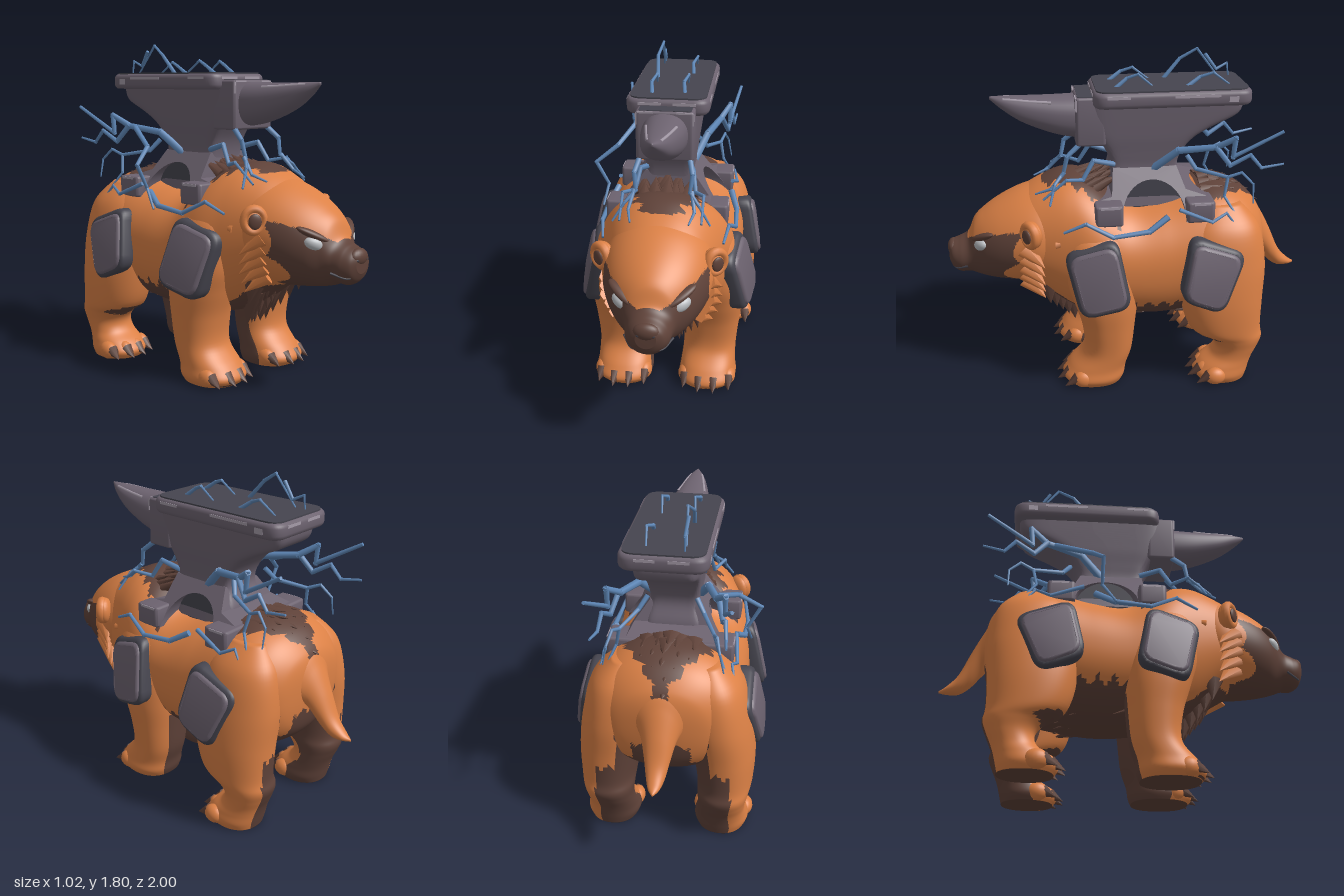
import * as THREE from 'three';
import { mergeGeometries, toCreasedNormals } from 'three/addons/utils/BufferGeometryUtils.js';

const V = (x, y, z) => new THREE.Vector3(x, y, z);
const mat = (name, color) => Object.assign(new THREE.MeshStandardMaterial({ color }), { name });

// Smooth tube of superellipse rings; rows are [t, a, b, ra, rb] along axis z (a=x, b=y) or y (a=x, b=z)
function loft(axis, rows, n = 40, steps = 8, e = 2) {
  rows = [...rows].sort((p, q) => p[0] - q[0]);
  const rings = [], at = i => rows[Math.min(Math.max(i, 0), rows.length - 1)];
  for (let s = 0; s <= (rows.length - 1) * steps; s++) {
    const i = Math.floor(s / steps), f = s / steps - i;
    rings.push(at(i).map((p1, k) => {
      const p0 = at(i - 1)[k], p2 = at(i + 1)[k], p3 = at(i + 2)[k];
      return p1 + 0.5 * f * (p2 - p0 + f * (2 * p0 - 5 * p1 + 4 * p2 - p3 + f * (3 * (p1 - p2) + p3 - p0)));
    }));
  }
  const cap = r => [r[0], r[1], r[2], 0, 0];
  const all = [cap(rings[0]), ...rings, cap(rings[rings.length - 1])], pos = [], idx = [];
  const pw = v => Math.sign(v) * Math.abs(v) ** (2 / e);
  all.forEach(([t, a, b, ra, rb], i) => {
    for (let j = 0; j < n; j++) {
      const w = (j / n) * Math.PI * 2, u = a + ra * pw(Math.cos(w));
      if (axis === 'z') pos.push(u, b + rb * pw(Math.sin(w)), t);
      else pos.push(u, t, b - rb * pw(Math.sin(w)));
      if (i) {
        const p = (i - 1) * n + j, q = (i - 1) * n + (j + 1) % n;
        idx.push(p, q, p + n, q, q + n, p + n);
      }
    }
  });
  const g = new THREE.BufferGeometry();
  g.setAttribute('position', new THREE.Float32BufferAttribute(pos, 3));
  g.setIndex(idx);
  g.computeVertexNormals();
  return g;
}

// Sort triangles into two material groups: rule(centre, normal) true picks the second
function paint(g, rule) {
  const sets = [[], []], p = g.attributes.position, ix = g.index.array, t = new THREE.Triangle();
  const c = V(), n = V();
  for (let i = 0; i < ix.length; i += 3) {
    t.setFromAttributeAndIndices(p, ix[i], ix[i + 1], ix[i + 2]);
    t.getMidpoint(c); t.getNormal(n);
    sets[rule(c, n) ? 1 : 0].push(ix[i], ix[i + 1], ix[i + 2]);
  }
  g.setIndex([...sets[0], ...sets[1]]);
  g.addGroup(0, sets[0].length, 0);
  g.addGroup(sets[0].length, sets[1].length, 1);
  return g;
}

function mirrored(src) {
  const g = src.clone().scale(-1, 1, 1);
  const ix = g.index ? [...g.index.array] : [...Array(g.attributes.position.count).keys()];
  for (let i = 0; i < ix.length; i += 3) [ix[i], ix[i + 1]] = [ix[i + 1], ix[i]];
  g.setIndex(ix);
  return g;
}

// Flattened fur tuft or claw from a base point along a direction
function spike(p, dir, h, r, flat = 0.6) {
  const g = new THREE.ConeGeometry(r, h, 7).translate(0, h * 0.35, 0).scale(1, 1, flat);
  g.applyQuaternion(new THREE.Quaternion().setFromUnitVectors(V(0, 1, 0), dir.clone().normalize()));
  return g.translate(p.x, p.y, p.z);
}

function ball(x, y, z, rx, ry, rz) {
  return new THREE.SphereGeometry(1, 20, 14).scale(rx, ry, rz).translate(x, y, z);
}

// Jagged bolt of tapering struts
function bolt(pts, r = 0.014) {
  const parts = [];
  for (let i = 0; i < pts.length - 1; i++) {
    const a = V(...pts[i]), d = V(...pts[i + 1]).sub(a), k = j => r * (1 - 0.6 * j / (pts.length - 1));
    parts.push(new THREE.CylinderGeometry(k(i + 1), k(i), d.length() + r * 0.8, 6).translate(0, d.length() / 2, 0)
      .applyQuaternion(new THREE.Quaternion().setFromUnitVectors(V(0, 1, 0), d.clone().normalize())).translate(a.x, a.y, a.z));
  }
  return mergeGeometries(parts);
}

function roundedPoly(pts, r) {
  const s = new THREE.Shape(), P = pts.map(p => new THREE.Vector2(...p)), n = P.length;
  P.forEach((p, i) => {
    const a = P[(i + n - 1) % n].clone().sub(p).setLength(r).add(p), b = P[(i + 1) % n].clone().sub(p).setLength(r).add(p);
    i ? s.lineTo(a.x, a.y) : s.moveTo(a.x, a.y);
    s.quadraticCurveTo(p.x, p.y, b.x, b.y);
  });
  s.closePath();
  return s;
}
const extrude = (shape, depth, bevel) => new THREE.ExtrudeGeometry(shape, {
  depth, bevelEnabled: bevel > 0, bevelSize: bevel, bevelThickness: bevel, bevelOffset: -bevel, bevelSegments: 3, curveSegments: 10 });
const zig = (v, f, a) => a * Math.abs(((v * f) % 1 + 1) % 1 - 0.5); // jagged fur border

export function createModel() {
  const root = new THREE.Group();
  const orange = mat('orange fur', 0xdc8146), brown = mat('brown fur', 0x5f4239), iron = mat('iron', 0x6d6370);
  const dark = mat('dark iron', 0x46454f), blue = mat('lightning blue', 0x5f88b8), pale = mat('worn edge', 0xa59ba8), eye = mat('eye grey', 0xb9bcc0);
  const fur = [orange, brown];
  const add = (name, g, m) => { const o = new THREE.Mesh(g, m); o.name = name; root.add(o); };
  const pair = (name, g, m) => { add(name + 'Left', g, m); add(name + 'Right', mirrored(g), m); };
  let seed = 7;
  const rnd = () => (seed = (seed * 16807) % 2147483647) / 2147483647;

  // Torso, rows [z, x, y, halfWidth, halfHeight]
  add('torso', paint(loft('z', [
    [-0.77, 0, 0.78, 0.07, 0.08], [-0.73, 0, 0.74, 0.25, 0.22], [-0.62, 0, 0.735, 0.37, 0.32], [-0.45, 0, 0.73, 0.405, 0.365],
    [-0.2, 0, 0.68, 0.4, 0.355], [0, 0, 0.675, 0.39, 0.345], [0.2, 0, 0.74, 0.38, 0.4], [0.34, 0, 0.785, 0.335, 0.385],
    [0.48, 0, 0.81, 0.285, 0.31], [0.6, 0, 0.81, 0.24, 0.24]], 96, 10, 2.2), (c, n) => {
    const x = Math.abs(c.x);
    if (c.y > 0.92) return (c.z > 0.06 && c.z < 0.47 && x < 0.55 * (0.5 - c.z) + 0.03 + zig(c.z, 14, 0.12))
      || (c.z < -0.38 && x < 0.25 + 0.75 * (c.z + 0.42) + zig(c.z, 12, 0.08));
    if (c.z > 0.2) return c.y < 0.55 && x < 0.2;
    return c.z < -0.45 ? n.y < -0.55 || (x < 0.15 && c.y < 0.62 + zig(c.x, 12, 0.1)) : c.y < 0.46 + zig(c.z, 12, 0.12);
  }), fur);

  // Tail
  add('tail', paint(loft('z', [[-1, 0, 0.53, 0.004, 0.006], [-0.96, 0, 0.54, 0.03, 0.022], [-0.9, 0, 0.575, 0.05, 0.055],
    [-0.84, 0, 0.66, 0.07, 0.1], [-0.78, 0, 0.755, 0.1, 0.12], [-0.72, 0, 0.83, 0.16, 0.13], [-0.62, 0, 0.85, 0.2, 0.15]], 32),
    (c, n) => n.y < -0.75 && c.z > -0.82), fur);

  // Head with muzzle and dark face mask
  add('head', paint(loft('z', [[0.38, 0, 0.86, 0.27, 0.27], [0.5, 0, 0.825, 0.295, 0.275], [0.6, 0, 0.81, 0.278, 0.26], [0.7, 0, 0.79, 0.243, 0.232],
    [0.78, 0, 0.77, 0.197, 0.2], [0.84, 0, 0.75, 0.145, 0.165], [0.88, 0, 0.715, 0.12, 0.115], [0.93, 0, 0.7, 0.108, 0.1],
    [0.97, 0, 0.705, 0.085, 0.08], [0.99, 0, 0.715, 0.05, 0.05]], 110, 12), c => {
    const x = Math.abs(c.x);
    return c.z > 0.885 || (c.y < 0.6 && x < 0.13)
      || (c.z > 0.59 && c.y < Math.min(0.785 + 0.5 * x, 0.92) && x < 0.268 - Math.max(0, 0.74 - c.y) * 0.8);
  }), fur);
  add('nose', ball(0, 0.745, 0.965, 0.066, 0.045, 0.035), brown);
  pair('nostril', ball(0.034, 0.735, 0.982, 0.016, 0.011, 0.012), dark);
  add('mouth', new THREE.TubeGeometry(new THREE.CatmullRomCurve3([V(-0.12, 0.67, 0.885), V(-0.07, 0.645, 0.957), V(0, 0.668, 0.977),
    V(0.07, 0.645, 0.957), V(0.12, 0.67, 0.885)]), 24, 0.006, 6), dark);
  pair('eye', ball(0, 0, 0, 0.054, 0.033, 0.03).rotateZ(0.35).rotateY(0.6).translate(0.148, 0.808, 0.808), eye);
  pair('brow', ball(0, 0, 0, 0.1, 0.021, 0.036).rotateZ(0.42).rotateY(0.65).translate(0.14, 0.85, 0.8), brown);
  pair('ear', ball(0, 0, 0, 0.068, 0.075, 0.04).rotateY(0.65).translate(0.28, 0.91, 0.53), orange);
  pair('earRim', new THREE.TorusGeometry(0.052, 0.02, 10, 24).scale(1, 1.1, 1.3).rotateY(0.65).translate(0.292, 0.912, 0.542), orange);
  pair('innerEar', ball(0, 0, 0, 0.034, 0.04, 0.012).rotateY(0.65).translate(0.305, 0.908, 0.562), brown);

  // Legs, rows [y, x, z, halfWidth, halfDepth], brown on the inside and behind
  const legPaint = (c, n) => n.y < -0.7 || (n.x < -0.35 && n.z < 0.15) || (n.z < -0.35 && n.x < 0.3 && c.y < 0.42 + zig(c.x, 14, 0.1));
  pair('frontLeg', paint(loft('y', [[0, 0.235, 0.21, 0.145, 0.155], [0.04, 0.24, 0.215, 0.163, 0.175], [0.1, 0.24, 0.19, 0.155, 0.16],
    [0.2, 0.245, 0.135, 0.15, 0.135], [0.35, 0.25, 0.13, 0.16, 0.147], [0.5, 0.26, 0.145, 0.165, 0.175], [0.65, 0.26, 0.165, 0.16, 0.195],
    [0.85, 0.25, 0.18, 0.13, 0.17], [0.98, 0.22, 0.18, 0.06, 0.08]], 56, 7, 2.3), legPaint), fur);
  pair('hindLeg', paint(loft('y', [[0, 0.3, -0.51, 0.13, 0.14], [0.04, 0.3, -0.505, 0.147, 0.155], [0.09, 0.3, -0.53, 0.138, 0.142],
    [0.14, 0.3, -0.57, 0.128, 0.118], [0.2, 0.305, -0.592, 0.128, 0.122], [0.26, 0.31, -0.58, 0.138, 0.153], [0.33, 0.315, -0.52, 0.15, 0.2],
    [0.5, 0.305, -0.495, 0.165, 0.23], [0.7, 0.28, -0.49, 0.165, 0.245], [0.9, 0.25, -0.5, 0.14, 0.2], [1.02, 0.22, -0.5, 0.06, 0.1]], 56, 7, 2.2), legPaint), fur);

  // Toes and claws
  for (const [name, cx, cz] of [['front', 0.24, 0.345], ['hind', 0.305, -0.39]]) {
    const toes = [], claws = [];
    for (let i = 0; i < 4; i++) {
      const u = i - 1.5, x = cx + u * 0.08, z = cz - u * u * 0.018;
      toes.push(ball(x, 0.05, z - 0.025, 0.043, 0.05, 0.06));
      claws.push(spike(V(x, 0.05, z + 0.02), V(u * 0.1, -0.55, 1), 0.085, 0.037, 0.95));
    }
    pair(name + 'Toes', mergeGeometries(toes), orange);
    pair(name + 'Claws', mergeGeometries(claws), brown);
  }

  // Fur tufts: mane, rump, chest, belly, then orange cheeks and neck
  const tufts = [], cheek = [];
  for (let i = 0; i < 5; i++) for (let j = -2; j <= 2; j++) {
    const x = j * 0.055 + (rnd() - 0.5) * 0.03, a = Math.abs(j);
    if (a < 3 - i * 0.4) tufts.push(spike(V(x, 1.14 - a * 0.014 - Math.max(0, i - 2) * 0.022, 0.16 + i * 0.06), V(x, 0.5, -1), 0.15, 0.06, 0.6));
    if (a < 3 - i * 0.7) tufts.push(spike(V(x, 1.09 - a * 0.013 - i * i * 0.008, -0.42 - i * 0.06), V(x, 0.15 - i * 0.1, -1), 0.13, 0.055, 0.5));
    tufts.push(spike(V(x * (1.6 - i * 0.25), 0.56 - i * 0.042, 0.455 - i * 0.035), V(x, -1, -0.1), 0.13, 0.06, 0.5));
    tufts.push(spike(V(x * 1.6, 0.365 + a * 0.012, 0.02 - i * 0.075), V(x, -0.3, -1), 0.13, 0.06, 0.4));
  }
  for (let i = 0; i < 5; i++) {
    cheek.push(spike(V(0.268 - Math.max(0, i - 2) * 0.022, 0.81 - i * 0.05, 0.55), V(0.45, -0.6, -0.6), 0.15, 0.06, 0.6));
    cheek.push(spike(V(0.12 + i * 0.04, 1.085 - i * i * 0.014, 0.38 - (i % 2) * 0.05), V(0.25, 0.15, -1), 0.15, 0.05));
  }
  add('furTufts', mergeGeometries(tufts), brown);
  pair('cheekTufts', mergeGeometries(cheek), orange);

  // Armour plates on shoulders and hips; corners are [-z, y], bent to lie on the flank
  for (const [name, pts, x0, k, m] of [
    ['shoulder', [[-0.29, 0.465], [-0.02, 0.54], [-0.09, 0.905], [-0.375, 0.82]], 0.43, -0.2, -0.2],
    ['hip', [[0.23, 0.57], [0.47, 0.47], [0.605, 0.8], [0.3, 0.91]], 0.465, -0.17, 0.06]]) {
    const cx = pts.reduce((s, p) => s + p[0] / 4, 0), cy = pts.reduce((s, p) => s + p[1] / 4, 0);
    const plate = (scale, depth, bevel, out) => {
      const ring = pts.map(p => [cx + (p[0] - cx) * scale, cy + (p[1] - cy) * scale]);
      const g = extrude(roundedPoly(ring, 0.08 * scale), depth, bevel).rotateY(Math.PI / 2), p = g.attributes.position;
      for (let i = 0; i < p.count; i++) {
        const dy = p.getY(i) - cy, dz = p.getZ(i) + cx;
        p.setX(i, p.getX(i) + x0 + out + k * dy + m * dz - 0.5 * dy * dy - 0.5 * dz * dz);
      }
      return toCreasedNormals(g, 0.7);
    };
    pair(name + 'PlateRim', plate(1, 0.05, 0.022, -0.055), dark);
    pair(name + 'PlateFace', plate(0.87, 0.014, 0.016, 0), iron);
  }

  // Anvil: waist, arched foot, pads, horn, step and top
  add('anvilWaist', toCreasedNormals(loft('y', [[1, 0, -0.11, 0.17, 0.21], [1.1, 0, -0.11, 0.15, 0.2], [1.2, 0, -0.09, 0.13, 0.18],
    [1.28, 0, -0.09, 0.135, 0.2], [1.36, 0, -0.1, 0.145, 0.255], [1.42, 0, -0.13, 0.15, 0.325], [1.49, 0, -0.19, 0.155, 0.405],
    [1.57, 0, -0.2, 0.16, 0.42]], 64, 5, 9), 0.6), iron);
  const foot = new THREE.Shape();
  foot.moveTo(-0.19, 0.95);
  for (const p of [[-0.19, 1.06], [-0.1, 1.08], [-0.085, 1.21], [0.26, 1.21], [0.3, 1.1], [0.43, 1.06], [0.43, 0.95], [0.29, 0.95]]) foot.lineTo(...p);
  foot.absarc(0.12, 0.98, 0.17, 0, Math.PI, false);
  foot.lineTo(-0.05, 0.95);
  const base = extrude(foot, 2, 0).translate(0, 0, -1).rotateY(Math.PI / 2), bp = base.attributes.position;
  for (let i = 0; i < bp.count; i++) bp.setX(i, bp.getX(i) * (0.31 - 0.7 * (bp.getY(i) - 0.95)));
  add('anvilFoot', toCreasedNormals(base, 0.5), iron);
  add('anvilArch', new THREE.CylinderGeometry(0.172, 0.172, 0.32, 40).rotateZ(Math.PI / 2).translate(0, 0.98, -0.12), dark);
  add('anvilHorn', loft('z', [[0.2, 0, 1.475, 0.12, 0.12], [0.28, 0, 1.475, 0.12, 0.115], [0.4, 0, 1.487, 0.107, 0.1],
    [0.55, 0, 1.518, 0.078, 0.07], [0.65, 0, 1.552, 0.046, 0.038], [0.72, 0, 1.582, 0.006, 0.008]], 36, 8, 2.3), iron);
  const slab = (x0, x1, z0, z1, r, y, h, b) => toCreasedNormals(extrude(roundedPoly([[x0, -z1], [x1, -z1], [x1, -z0], [x0, -z0]], r), h - 2 * b, b)
    .rotateX(-Math.PI / 2).translate(0, y + b, 0), 0.7);
  pair('anvilFrontPad', slab(0.14, 0.33, 0.05, 0.2, 0.02, 0.95, 0.115, 0.012), iron);
  pair('anvilRearPad', slab(0.14, 0.33, -0.44, -0.29, 0.02, 0.95, 0.115, 0.012), iron);
  add('anvilStep', slab(-0.15, 0.15, 0.12, 0.28, 0.02, 1.34, 0.26, 0.012), iron);
  add('anvilTop', slab(-0.218, 0.218, -0.65, 0.19, 0.08, 1.55, 0.085, 0.025), iron);
  add('anvilFace', slab(-0.2, 0.2, -0.632, 0.172, 0.07, 1.633, 0.008, 0), dark);
  add('anvilStepFace', slab(-0.135, 0.135, 0.15, 0.268, 0.015, 1.598, 0.005, 0), dark);

  // Worn highlights along anvil edges, as [x, y, z, width, height, depth]
  add('wornEdges', mergeGeometries([[0.214, 1.61, -0.35, 0.009, 0.014, 0.24], [0.214, 1.612, 0.06, 0.009, 0.014, 0.12], [0.214, 1.59, -0.54, 0.009, 0.03, 0.05],
    [0.09, 1.612, 0.186, 0.12, 0.014, 0.009], [0.08, 1.612, -0.646, 0.1, 0.014, 0.009], [0.146, 1.56, 0.276, 0.008, 0.06, 0.009],
    [0.1, 1.594, 0.276, 0.08, 0.009, 0.009], [0.326, 1.055, 0.12, 0.009, 0.013, 0.1], [0.326, 1.055, -0.37, 0.009, 0.013, 0.09]]
    .flatMap(([x, y, z, w, h, d]) => [-1, 1].map(s => new THREE.BoxGeometry(w, h, d).translate(s * x, y, z)))), pale);
  pair('hornHighlight', new THREE.TubeGeometry(new THREE.CatmullRomCurve3([V(0.075, 1.563, 0.4), V(0.058, 1.567, 0.5), V(0.045, 1.573, 0.58),
    V(0.03, 1.577, 0.65)]), 16, 0.009, 6), pale);

  // Lightning on both flanks
  pair('flankLightning', mergeGeometries([
    bolt([[0.12, 1.2, -0.14], [0.18, 1.31, -0.26], [0.24, 1.34, -0.45], [0.29, 1.4, -0.54], [0.29, 1.3, -0.53], [0.34, 1.44, -0.77]], 0.024),
    bolt([[0.25, 1.34, -0.45], [0.28, 1.25, -0.52], [0.3, 1.31, -0.62], [0.31, 1.24, -0.68], [0.32, 1.26, -0.79]], 0.016),
    bolt([[0.13, 1.26, -0.32], [0.17, 1.2, -0.36], [0.24, 1.17, -0.52], [0.26, 1.07, -0.5], [0.32, 0.94, -0.58]]),
    bolt([[0.24, 1.17, -0.52], [0.26, 1.2, -0.59], [0.28, 1.14, -0.65], [0.3, 1.04, -0.65]], 0.01),
    bolt([[0.33, 1.03, -0.25], [0.35, 0.96, -0.42], [0.33, 1, -0.5], [0.35, 0.92, -0.56]], 0.012),
    bolt([[0.12, 1.23, 0.08], [0.14, 1.26, 0.19], [0.16, 1.16, 0.25], [0.21, 1.18, 0.34], [0.21, 1.08, 0.46]], 0.016),
    bolt([[0.13, 1.35, 0.26], [0.15, 1.29, 0.33], [0.14, 1.2, 0.35], [0.19, 1.15, 0.4], [0.25, 1.06, 0.43]], 0.015),
    bolt([[0.15, 1.2, 0.35], [0.17, 1.12, 0.42], [0.15, 1.09, 0.5]], 0.012),
    bolt([[0.33, 0.99, -0.18], [0.365, 0.93, -0.08], [0.37, 0.91, 0.11], [0.34, 0.98, 0.25], [0.32, 0.93, 0.36]], 0.018),
  ]), blue);
  // Lightning on the anvil face and one stray bolt
  const hop = (x, z, h, l) => bolt([[x, 1.635, z], [x - 0.01, 1.635 + h * 0.65, z - l * 0.3], [x + 0.01, 1.635 + h, z - l * 0.6], [x, 1.64, z - l]], 0.012);
  add('topLightning', mergeGeometries([hop(-0.09, 0.08, 0.07, 0.21), hop(0.08, 0.06, 0.07, 0.19), hop(0.09, -0.32, 0.07, 0.22), hop(-0.1, -0.22, 0.16, 0.3),
    bolt([[-0.1, 1.76, -0.45], [-0.09, 1.68, -0.51], [-0.1, 1.71, -0.57], [-0.1, 1.64, -0.58]], 0.01)]), blue);
  add('strayLightning', bolt([[-0.24, 1.33, -0.4], [-0.33, 1.24, -0.2], [-0.45, 1.15, -0.15], [-0.38, 1.02, -0.15], [-0.4, 0.92, -0.08]], 0.016), blue);
  return root;
}
